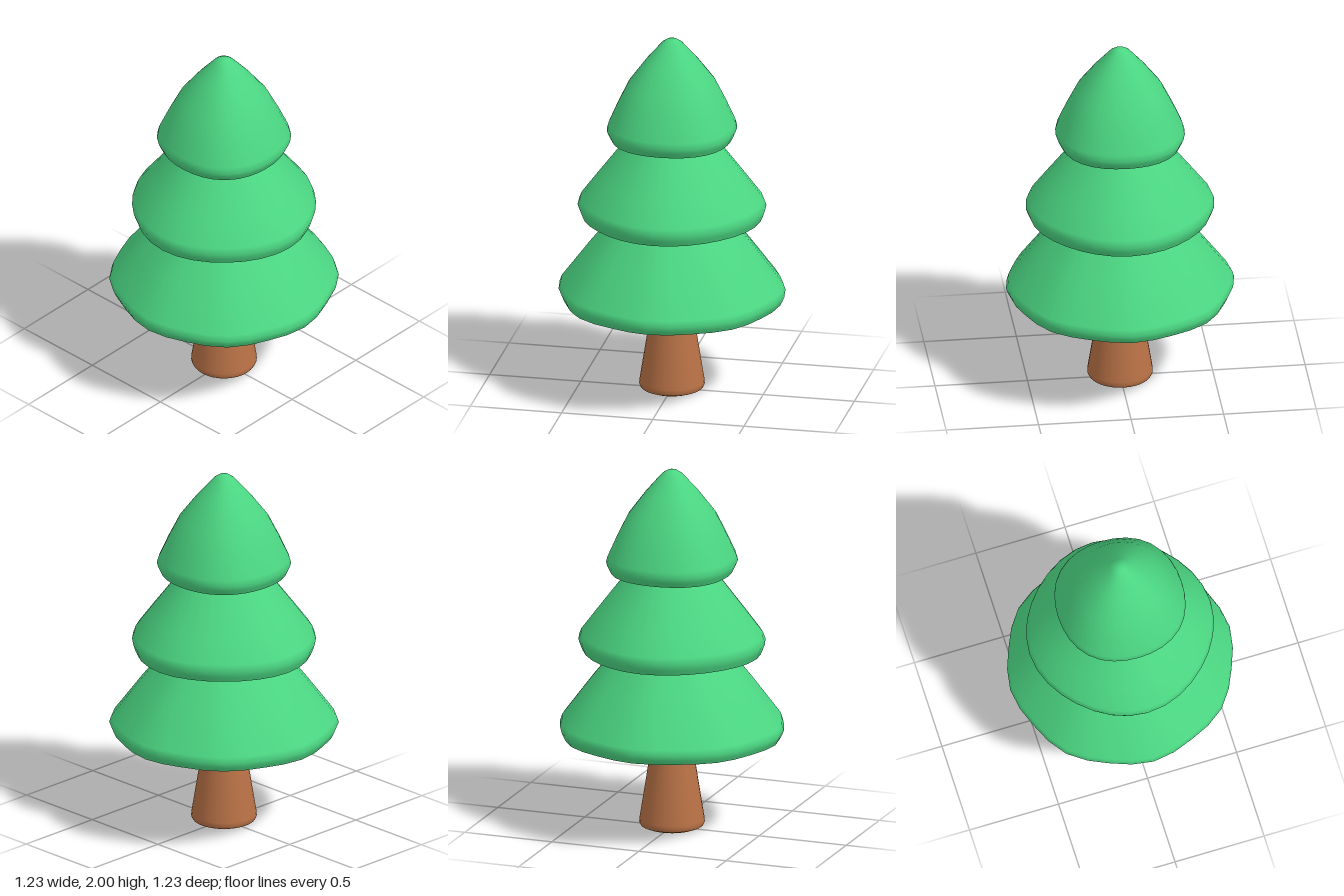
import * as THREE from 'three';
import { mergeVertices } from 'three/addons/utils/BufferGeometryUtils.js';

const material = (name, color) => {
  const m = new THREE.MeshStandardMaterial({ color });
  m.name = name;
  return m;
};

// Lathe whose roundness varies gently with angle, smooth across the seam
function wavyLathe(points, wave) {
  let g = new THREE.LatheGeometry(points.map(([r, y]) => new THREE.Vector2(r, y)), 32);
  const p = g.attributes.position;
  for (let i = 0; i < p.count; i++) {
    const s = wave(Math.atan2(p.getX(i), p.getZ(i)));
    p.setX(i, p.getX(i) * s);
    p.setZ(i, p.getZ(i) * s);
  }
  g.deleteAttribute('uv');
  g.deleteAttribute('normal');
  g = mergeVertices(g, 1e-4);
  g.computeVertexNormals();
  return g;
}

export function createModel() {
  const tree = new THREE.Group();
  tree.name = 'pineTree';
  const green = material('leafGreen', 0x4bd682);
  const brown = material('barkBrown', 0xb87146);
  const amber = material('cutWoodAmber', 0xe89600);

  const add = (parent, name, geometry, mat) => {
    const mesh = new THREE.Mesh(geometry, mat);
    mesh.name = name;
    parent.add(mesh);
  };
  const round = () => 1;

  // Tapered trunk with a rounded foot and a cut base
  add(tree, 'trunk', wavyLathe(
    [[0.168, 0.015], [0.176, 0.03], [0.175, 0.05], [0.14, 0.27], [0.1, 0.53]], round), brown);
  add(tree, 'trunkBase', wavyLathe([[0, 0], [0.14, 0.003], [0.168, 0.015]], round), amber);

  // Foliage tiers: flat underside, bevelled rim, sloping skirt
  const tiers = [
    {
      name: 'lowerFoliage',
      skirt: [[0.592, 0.517], [0.604, 0.54], [0.615, 0.567], [0.604, 0.6], [0.455, 0.8], [0.31, 0.985], [0.24, 1.06]],
      wave: a => 0.99 + 0.012 * Math.cos(8 * a),
    },
    {
      name: 'middleFoliage',
      skirt: [[0.485, 0.987], [0.497, 1.015], [0.509, 1.05], [0.496, 1.085], [0.41, 1.2], [0.235, 1.43], [0.18, 1.49]],
      wave: a => 0.985 + 0.015 * Math.cos(4 * a),
    },
    {
      name: 'topFoliage',
      skirt: [[0.322, 1.433], [0.335, 1.46], [0.347, 1.488], [0.338, 1.52], [0.29, 1.63], [0.232, 1.75],
        [0.14, 1.875], [0.055, 1.975], [0.025, 1.995], [0, 2]],
      wave: a => 1.02 - 0.02 * Math.cos(4 * a),
    },
  ];
  for (const { name, skirt, wave } of tiers) {
    const tier = new THREE.Group();
    tier.name = name;
    const [r, y] = skirt[0];
    add(tier, name + 'Skirt', wavyLathe(skirt, wave), green);
    add(tier, name + 'Underside', wavyLathe([[0, y + 0.003], [r * 0.5, y + 0.002], [r, y]], wave), green);
    tree.add(tier);
  }
  return tree;
}
